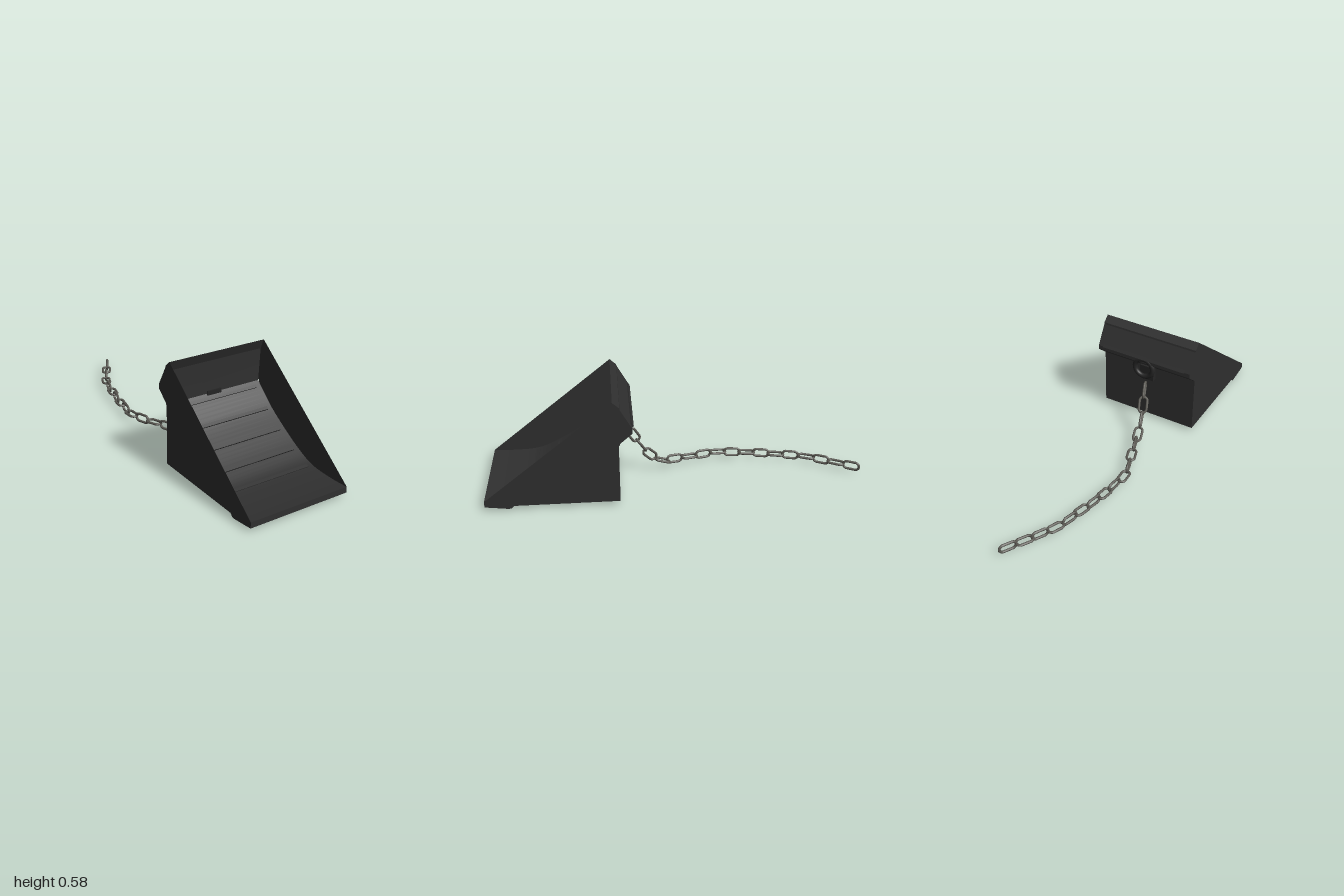
import * as THREE from 'three';
import { toCreasedNormals } from 'three/addons/utils/BufferGeometryUtils.js';

export function createModel() {
  const model = new THREE.Group();
  const rubber = new THREE.MeshStandardMaterial({ color: 0x303030 });
  const wallRubber = new THREE.MeshStandardMaterial({ color: 0x2f2f2f, side: THREE.DoubleSide });
  const ringBlack = new THREE.MeshStandardMaterial({ color: 0x252525 });
  const steel = new THREE.MeshStandardMaterial({ color: 0x5a5852 });
  const halfWidth = 0.28;
  const v2 = ([z, y]) => new THREE.Vector2(z, y);

  function add(name, geometry, material, x = 0, y = 0, z = 0, tilt = 0) {
    const mesh = new THREE.Mesh(geometry, material);
    mesh.name = name;
    mesh.position.set(x, y, z);
    mesh.rotation.x = tilt;
    model.add(mesh);
    return mesh;
  }

  // Side outline as (z, y): hollow front face, then the top, back and base
  const hollow = new THREE.SplineCurve([
    [1, 0.05], [0.88, 0.045], [0.75, 0.055], [0.64, 0.1], [0.53, 0.163],
    [0.42, 0.237], [0.33, 0.318], [0.305, 0.342],
  ].map(v2));
  const back = [
    [0.337, 0.576], [0.302, 0.545], [0.3, 0.535], [0.24, 0.43],
    [0.24, 0.405], [0.31, 0.345], [0.31, 0.02],
  ].map(v2);
  const base = [[0.85, 0.02], [0.865, 0.005], [0.88, 0.004], [1, 0.019]].map(v2);

  // Solid core beneath the hollow tread
  const core = new THREE.ExtrudeGeometry(
    new THREE.Shape([...hollow.getPoints(40), v2([0.305, 0.345]), v2([0.315, 0.522]), ...back, ...base]),
    { depth: halfWidth * 2, bevelEnabled: false });
  core.rotateY(-Math.PI / 2).translate(halfWidth, 0, 0);
  add('chockBody', toCreasedNormals(core, 0.25), rubber);

  // Thin side walls reaching up to the straight slope
  const wall = new THREE.ShapeGeometry(new THREE.Shape([v2([1, 0.05]), ...back, ...base]));
  wall.rotateY(-Math.PI / 2);
  for (const side of [-1, 1]) {
    add(side > 0 ? 'leftWall' : 'rightWall', wall, wallRubber, side * (halfWidth + 0.0005));
  }

  // Grip bars across the hollow tread
  const gripBar = new THREE.BoxGeometry(0.5, 0.01, 0.018);
  for (const [z, y, tilt] of [
    [0.328, 0.323, 0.73], [0.425, 0.237, 0.62], [0.532, 0.166, 0.56],
    [0.643, 0.102, 0.48], [0.752, 0.054, 0.3],
  ]) add('gripBar', gripBar, rubber, 0, y, z, tilt);

  // Ridges on the base and the back, and the mount tab in the tread
  add('baseRidge', new THREE.BoxGeometry(0.5, 0.02, 0.02), rubber, 0, 0.01, 0.87);
  add('backRidge', new THREE.BoxGeometry(0.5, 0.018, 0.012), rubber, 0, 0.435, 0.242, 0.55);
  add('mountTab', new THREE.BoxGeometry(0.084, 0.013, 0.02), rubber, 0, 0.344, 0.302);

  // Pull ring and its plate
  add('ringPlate', new THREE.BoxGeometry(0.084, 0.085, 0.03), ringBlack, 0, 0.315, 0.298);
  add('pullRing', new THREE.TorusGeometry(0.054, 0.014, 12, 32), ringBlack, 0, 0.37, 0.25);

  // One link: a torus pulled apart at the middle
  const link = new THREE.TorusGeometry(0.0215, 0.0068, 8, 22);
  const p = link.attributes.position;
  for (let i = 0; i < p.count; i++) p.setX(i, p.getX(i) + Math.sign(p.getX(i)) * 0.022);
  link.computeVertexNormals();

  // Chain: links set along a path, each turned a quarter from the last
  const path = [
    [-0.01, 0.31, 0.27], [-0.02, 0.243, 0.225], [-0.035, 0.172, 0.185], [-0.05, 0.107, 0.138],
    [-0.068, 0.056, 0.07], [-0.09, 0.05, 0], [-0.117, 0.045, -0.085], [-0.145, 0.041, -0.165],
    [-0.165, 0.04, -0.25], [-0.155, 0.04, -0.33], [-0.145, 0.04, -0.41], [-0.13, 0.04, -0.49],
    [-0.11, 0.04, -0.57], [-0.092, 0.04, -0.65], [-0.065, 0.04, -0.735], [-0.025, 0.04, -0.81],
    [0.015, 0.04, -0.882], [0.06, 0.04, -0.957], [0.1, 0.04, -1.03],
  ].map((c) => new THREE.Vector3(...c));
  const chain = new THREE.Group();
  chain.name = 'chain';
  const up = new THREE.Vector3(0, 1, 0);
  for (let i = 1; i < path.length - 1; i++) {
    const along = path[i + 1].clone().sub(path[i - 1]).normalize();
    const across = along.clone().cross(up).normalize();
    const rise = across.clone().cross(along);
    const mesh = new THREE.Mesh(link, steel);
    mesh.name = 'chainLink';
    const basis = i % 2
      ? new THREE.Matrix4().makeBasis(along, rise, across)
      : new THREE.Matrix4().makeBasis(along, across, rise.negate());
    mesh.quaternion.setFromRotationMatrix(basis);
    mesh.position.copy(path[i]);
    chain.add(mesh);
  }
  model.add(chain);
  return model;
}
